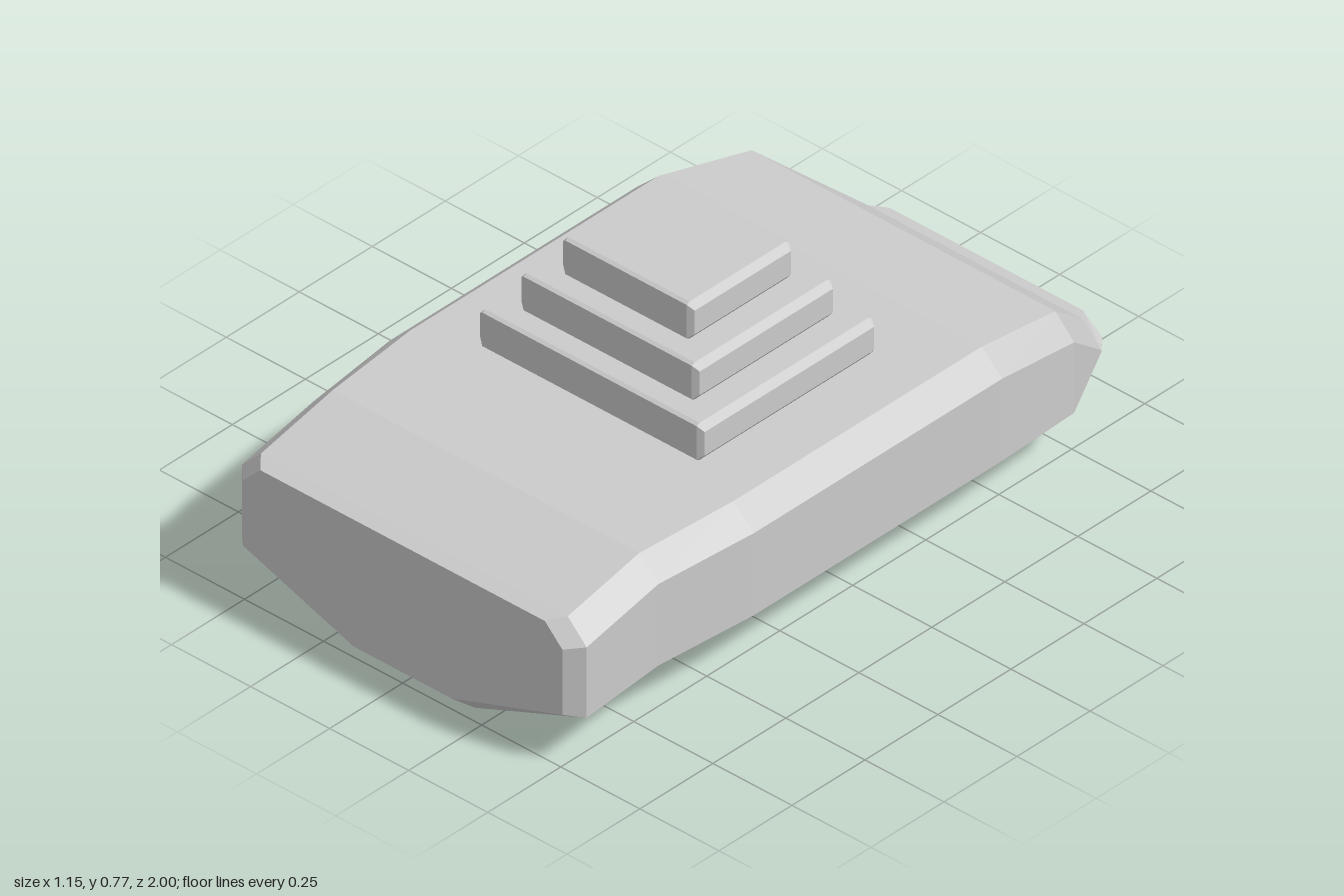
import * as THREE from 'three';
import { ConvexGeometry } from 'three/addons/geometries/ConvexGeometry.js';

const material = new THREE.MeshStandardMaterial({ color: 0xcccccc, flatShading: true });

// Hull stations, front to back:
// z, bottom half width, bottom y, side half width, side low y, side high y, top half width, top y
const STATIONS = [
  [1.0, 0.155, 0.03, 0.505, 0.15, 0.335, 0.45, 0.39],
  [0.96, 0.19, 0, 0.545, 0.14, 0.34, 0.485, 0.4],
  [0.715, 0.19, 0, 0.545, 0.162, 0.393, 0.485, 0.453],
  [0.42, 0.2, 0, 0.575, 0.167, 0.4, 0.51, 0.46],
  [-0.43, 0.2, 0, 0.575, 0.167, 0.4, 0.51, 0.46],
  [-0.715, 0.19, 0, 0.54, 0.14, 0.34, 0.48, 0.4],
  [-0.96, 0.14, 0, 0.4, 0.12, 0.125, 0.34, 0.185],
  [-1.0, 0.11, 0.03, 0.365, 0.12, 0.126, 0.305, 0.172],
];

// Eight-sided cross-section, counterclockwise seen from the front
function section([z, bw, by, sw, lowY, highY, tw, ty]) {
  const half = [[bw, by], [sw, lowY], [sw, highY], [tw, ty]];
  const mirrored = half.map(([x, y]) => [-x, y]).reverse();
  return [...half, ...mirrored].map(([x, y]) => [x, y, z]);
}

function hullGeometry() {
  const rings = STATIONS.map(section);
  const positions = [];
  const tri = (...corners) => corners.forEach((p) => positions.push(...p));
  // Skin between neighbouring stations
  for (let s = 0; s < rings.length - 1; s++) {
    const front = rings[s], back = rings[s + 1];
    for (let i = 0; i < 8; i++) {
      const j = (i + 1) % 8;
      tri(front[i], back[i], back[j]);
      tri(front[i], back[j], front[j]);
    }
  }
  // End caps
  const first = rings[0], last = rings[rings.length - 1];
  for (let i = 1; i < 7; i++) {
    tri(first[0], first[i], first[i + 1]);
    tri(last[0], last[i + 1], last[i]);
  }
  const geometry = new THREE.BufferGeometry();
  geometry.setAttribute('position', new THREE.Float32BufferAttribute(positions, 3));
  geometry.computeVertexNormals();
  return geometry;
}

// Box with chamfered edges, wider chamfers on its sides than on its ends
function chamferedBox(width, height, depth) {
  const x = width / 2, y = height / 2, z = depth / 2;
  const points = [];
  for (const sx of [-1, 1]) for (const sy of [-1, 1]) for (const sz of [-1, 1]) {
    points.push(
      new THREE.Vector3(sx * (x - 0.016), sy * (y - 0.005), sz * z),
      new THREE.Vector3(sx * x, sy * (y - 0.019), sz * (z - 0.01)),
      new THREE.Vector3(sx * (x - 0.016), sy * y, sz * (z - 0.01)),
    );
  }
  return new ConvexGeometry(points);
}

export function createModel() {
  const model = new THREE.Group();
  model.name = 'steppedHull';

  const hull = new THREE.Mesh(hullGeometry(), material);
  hull.name = 'hull';
  model.add(hull);

  // Stepped tower: half width, front z, back z
  const tiers = [[0.355, 0.36, -0.24], [0.282, 0.298, -0.178], [0.208, 0.235, -0.115]];
  const names = ['lowerTier', 'middleTier', 'upperTier'];
  const tierHeight = 0.105;
  const tower = new THREE.Group();
  tower.name = 'tower';
  tiers.forEach(([halfWidth, front, back], i) => {
    const tier = new THREE.Mesh(chamferedBox(halfWidth * 2, tierHeight, front - back), material);
    tier.name = names[i];
    tier.position.set(0, 0.46 + tierHeight * (i + 0.5), (front + back) / 2);
    tower.add(tier);
  });
  model.add(tower);

  return model;
}
